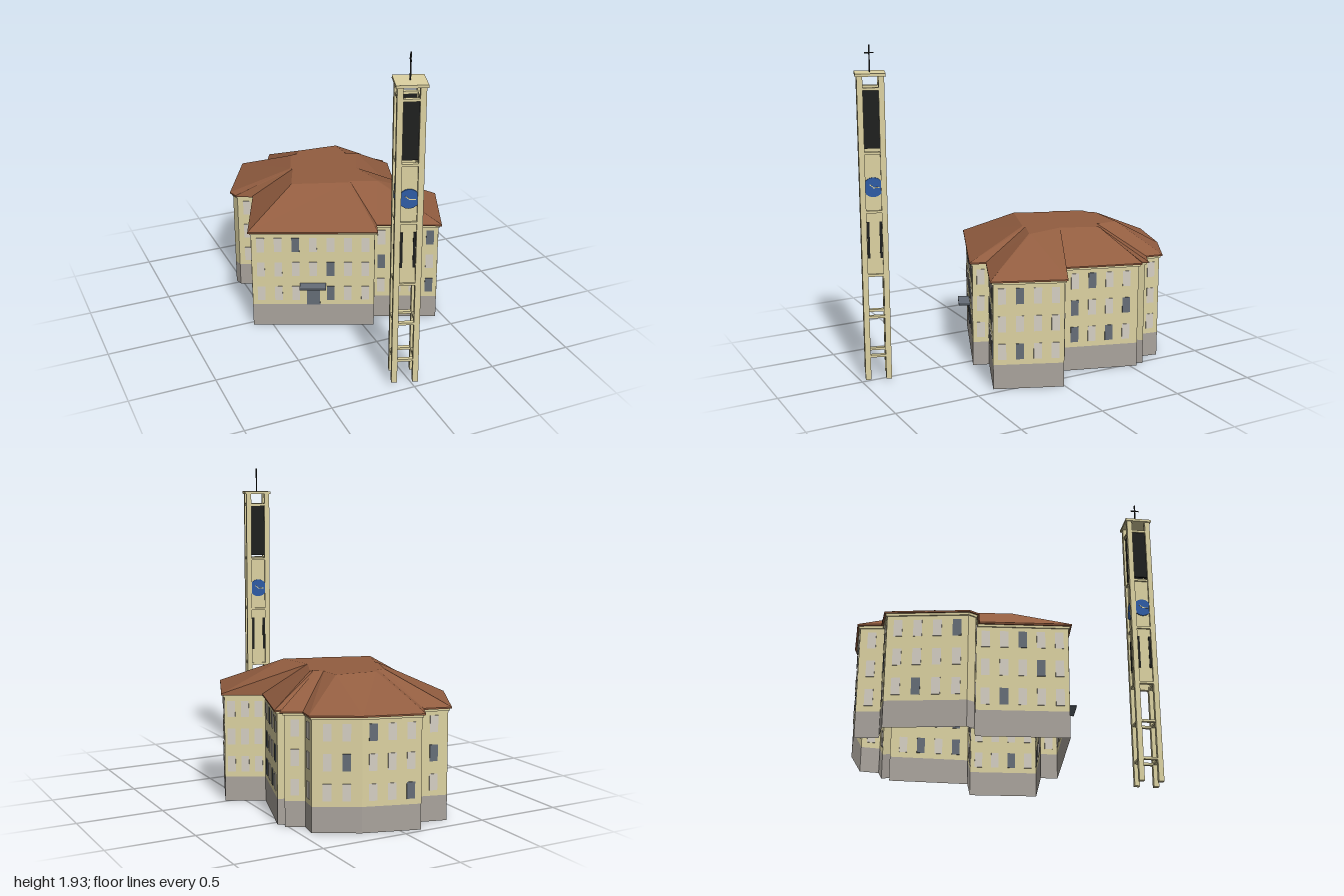
import * as THREE from 'three';
import { mergeGeometries } from 'three/addons/utils/BufferGeometryUtils.js';

const mat = (name, color, extra = {}) => Object.assign(new THREE.MeshStandardMaterial({ color, ...extra }), { name });
const open = { side: THREE.DoubleSide };

// eave corners [x, z] and the matching corners of the flat roof top
const EAVE = [[-.634, .042], [.074, .343], [.108, .252], [.463, .407], [.63, 0], [.42, -.111],
  [.557, -.55], [.515, -.565], [.548, -.598], [.44, -.656], [.458, -.762], [.209, -.9],
  [-.119, -1], [-.18, -.884], [-.336, -.926], [-.553, -.529], [-.537, -.466], [-.44, -.418]];
const CROWN = [[-.283, -.143], [.04, -.03], [.06, -.04], [.215, .022], [.222, .015], [.177, -.212],
  [.275, -.425], [.25, -.42], [.243, -.428], [.205, -.455], [.207, -.468], [.2, -.59],
  [-.045, -.605], [-.08, -.566], [-.13, -.555], [-.205, -.365], [-.203, -.357], [-.195, -.35]];

// dark windows as 'row column' per wall, rows counted from below
const DARK = {
  0: ['2 2', '1 4', '0 4'], 2: ['2 3', '1 0', '1 1', '0 3'], 3: ['0 1', '2 1'],
  5: ['0 0', '0 2', '1 0', '1 3', '2 1'], 10: ['1 1'], 11: ['0 2', '2 0'], 13: ['1 0'],
  14: ['0 1', '2 3'], 17: ['0 1', '1 3', '2 2'],
};

// direction and length of the outline edge that starts at corner i
function edge(pts, i) {
  const [ax, az] = pts[i], [bx, bz] = pts[(i + 1) % pts.length];
  const len = Math.hypot(bx - ax, bz - az);
  return { ax, az, dx: (bx - ax) / len, dz: (bz - az) / len, len };
}

// moves every edge of the outline inward by d
function inset(pts, d) {
  return pts.map(([x, z], i) => {
    const p = edge(pts, (i + pts.length - 1) % pts.length), q = edge(pts, i);
    const k = d / (1 + p.dx * q.dx + p.dz * q.dz);
    return [x + (p.dz + q.dz) * k, z - (p.dx + q.dx) * k];
  });
}

// closed strip of flat faces from one outline to another
function band(lower, y0, upper, y1) {
  const v = [];
  lower.forEach((a, i) => {
    const j = (i + 1) % lower.length, b = lower[j], c = upper[j], d = upper[i];
    v.push(a[0], y0, a[1], b[0], y0, b[1], c[0], y1, c[1]);
    v.push(a[0], y0, a[1], c[0], y1, c[1], d[0], y1, d[1]);
  });
  const g = new THREE.BufferGeometry();
  g.setAttribute('position', new THREE.Float32BufferAttribute(v, 3));
  g.computeVertexNormals();
  return g;
}

// box on a wall: u along the edge, y its centre, o its distance outward
function onWall(e, w, h, d, u, y, o) {
  return new THREE.BoxGeometry(w, h, d).rotateY(-Math.atan2(e.dz, e.dx))
    .translate(e.ax + e.dx * u - e.dz * o, y, e.az + e.dz * u + e.dx * o);
}

const box = (w, h, d, x, y, z) => new THREE.BoxGeometry(w, h, d).translate(x, y, z);

export function createModel() {
  const cream = mat('cream plaster', 0xddd3a2, open), stone = mat('grey plinth', 0xaaa49d, open);
  const tile = mat('brown roof tile', 0x925d40, open);
  const pane = mat('pale window', 0xd6d0c4), slate = mat('slate grey', 0x666e78);
  const black = mat('black', 0x1f201f), blue = mat('clock blue', 0x2f5ca6), gold = mat('pale gold', 0xe6dba6);

  const model = new THREE.Group();
  const add = (parent, name, geos, m) => {
    const mesh = new THREE.Mesh(Array.isArray(geos) ? mergeGeometries(geos) : geos, m);
    mesh.name = name;
    parent.add(mesh);
  };

  // hollow house body, open below, with its roof
  const house = new THREE.Group();
  house.name = 'house';
  model.add(house);
  const wall = inset(EAVE, .018), ledge = inset(EAVE, .01);
  add(house, 'plinth', band(wall, 0, wall, .145), stone);
  add(house, 'walls', band(wall, .145, wall, .633), cream);
  add(house, 'cornice', [band(wall, .62, ledge, .62), band(ledge, .62, ledge, .633)], cream);
  add(house, 'eaves', [band(wall, .633, EAVE, .633), band(EAVE, .633, EAVE, .642)], tile);
  add(house, 'roofSlopes', band(EAVE, .642, CROWN, .813), tile);
  const top = new THREE.Shape(CROWN.map(([x, z]) => new THREE.Vector2(x, -z)));
  add(house, 'roofTop', new THREE.ShapeGeometry(top).rotateX(-Math.PI / 2).translate(0, .813, 0), tile);

  // three rows of windows on every long enough wall
  const pale = [], dark = [];
  wall.forEach((_, k) => {
    const e = edge(wall, k);
    if (e.len < .09) return;
    const n = k === 4 ? 3 : Math.max(1, Math.round((e.len - .03) / .1));
    const pitch = Math.min(.104, e.len / n);
    for (let i = 0; i < n; i++) {
      [.223, .387, .55].forEach((y, r) => {
        if (k === 0 && i === 3 && r === 0) return; // the door is here
        const u = e.len / 2 + (i - (n - 1) / 2) * pitch;
        const list = DARK[k]?.includes(`${r} ${i}`) ? dark : pale;
        list.push(onWall(e, .046, .093, .008, u, y, 0));
      });
    }
  });
  add(house, 'paleWindows', pale, pane);
  add(house, 'darkWindows', dark, slate);

  // entrance
  const front = edge(wall, 0);
  add(house, 'door', onWall(front, .08, .118, .009, .367, .204, 0), slate);
  add(house, 'doorCanopy', onWall(front, .158, .01, .07, .365, .285, .035), slate);

  // free-standing bell tower
  const tower = new THREE.Group();
  tower.name = 'bellTower';
  tower.position.set(-.02, 0, .893);
  tower.rotation.y = -THREE.MathUtils.degToRad(18.5);
  model.add(tower);
  const posts = [];
  for (const x of [-1, 1]) for (const z of [-1, 1]) posts.push(box(.032, 1.747, .032, x * .059, .8935, z * .059));
  add(tower, 'posts', posts, cream);
  add(tower, 'cap', box(.167, .016, .167, 0, 1.774, 0), cream);

  // the same filling on all four sides
  for (let s = 0; s < 4; s++) {
    const side = new THREE.Group();
    side.name = 'towerSide';
    side.rotation.y = s * Math.PI / 2;
    tower.add(side);
    add(side, 'crossBeams', [.16, .395, .642, 1.01, 1.342, 1.697].map(y => box(.088, .014, .024, 0, y, .059)), cream);
    add(side, 'panels', [box(.088, .36, .01, 0, .826, .055), box(.088, .325, .01, 0, 1.176, .055)], cream);
    add(side, 'slits', [-1, 1].map(x => box(.014, .21, .006, x * .035, .847, .061)), black);
    add(side, 'louvre', box(.088, .325, .012, 0, 1.53, .056), black);
    // the dial sits between the posts, which cover its left and right rims
    add(side, 'clockFace', new THREE.CylinderGeometry(.056, .056, .008, 16).rotateX(Math.PI / 2).translate(0, 1.15, .063), blue);
    add(side, 'clockHands', [
      box(.036, .005, .003, .016, 1.148, .068),
      new THREE.BoxGeometry(.005, .026, .003).rotateZ(.9).translate(-.01, 1.158, .068),
    ], gold);
  }

  // cross on the cap
  add(tower, 'cross', [box(.007, .15, .007, 0, 1.855, 0), box(.006, .007, .052, 0, 1.888, 0)], black);
  return model;
}
